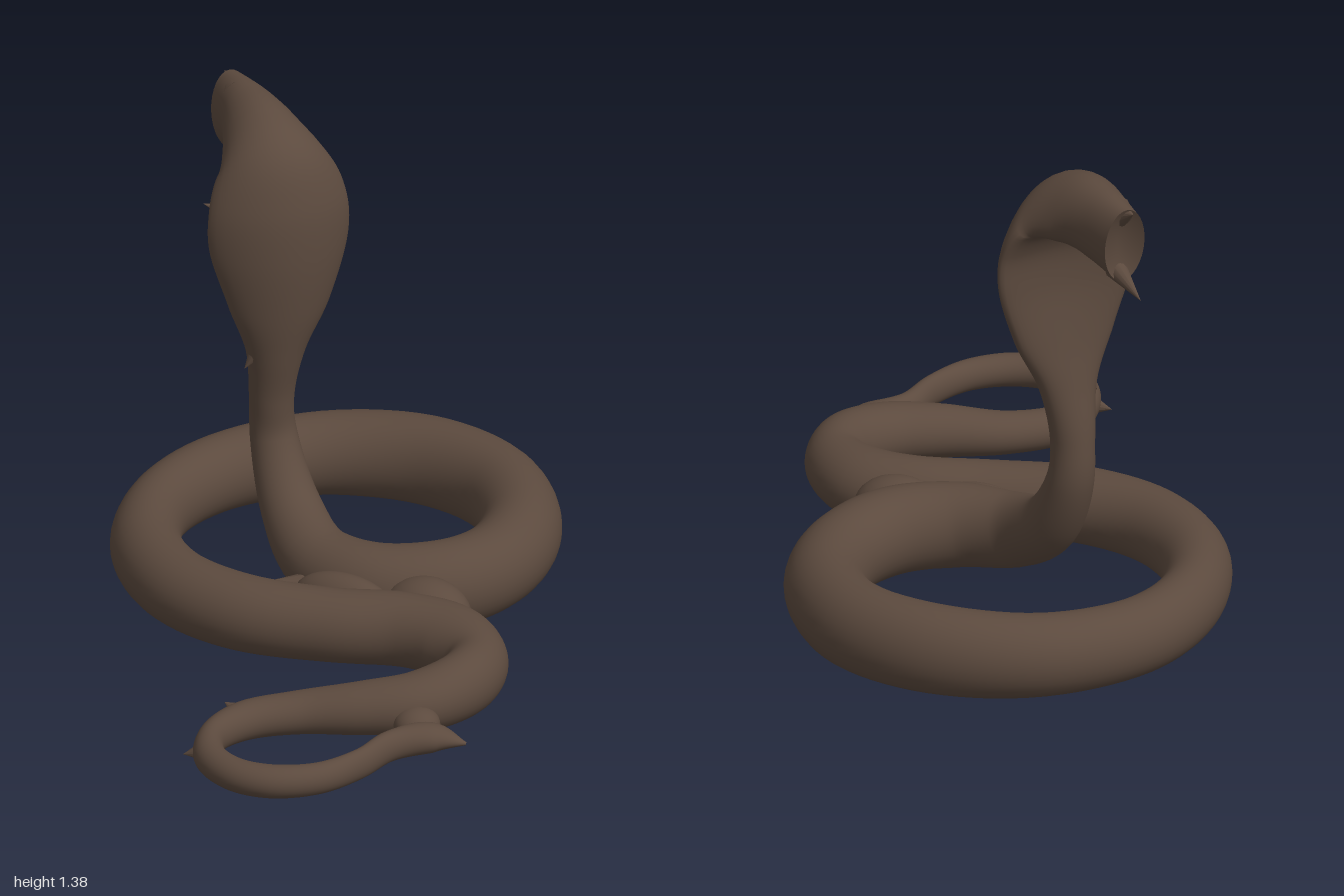
import * as THREE from 'three';

// Stations: x, y, z, half width, half height, sideways curl
const TAIL = [
  [0.74, 0.05, 0.45, 0.004, 0.004, 0],
  [0.65, 0.06, 0.48, 0.05, 0.04, 0],
  [0.575, 0.06, 0.58, 0.035, 0.045, 0],
  [0.555, 0.06, 0.72, 0.03, 0.045, 0],
  [0.5, 0.06, 0.85, 0.04, 0.045, 0],
  [0.4, 0.06, 0.93, 0.048, 0.047, 0],
  [0.29, 0.06, 0.945, 0.047, 0.047, 0],
  [0.18, 0.06, 0.89, 0.045, 0.047, 0],
  [0.125, 0.06, 0.78, 0.04, 0.05, 0],
  [0.15, 0.06, 0.65, 0.055, 0.055, 0],
  [0.26, 0.065, 0.54, 0.065, 0.06, 0],
  [0.42, 0.08, 0.45, 0.08, 0.075, 0],
  [0.54, 0.09, 0.36, 0.09, 0.085, 0],
  [0.6, 0.1, 0.22, 0.085, 0.095, 0],
  [0.57, 0.1, 0.1, 0.09, 0.095, 0],
];
const COIL = [
  [0.45, 0.1, 0.02, 0.11, 0.103, 0],
  [0.3, 0.1, 0.02, 0.1, 0.105, 0],
  [0.1, 0.095, 0.09, 0.1, 0.105, 0],
  [-0.15, 0.095, 0.145, 0.105, 0.108, 0],
  [-0.38, 0.095, 0.1, 0.105, 0.108, 0],
  [-0.57, 0.095, -0.06, 0.1, 0.108, 0],
  [-0.66, 0.095, -0.3, 0.092, 0.108, 0],
  [-0.62, 0.095, -0.56, 0.1, 0.11, 0],
  [-0.43, 0.1, -0.79, 0.11, 0.118, 0],
  [-0.15, 0.105, -0.885, 0.113, 0.13, 0],
  [0.11, 0.105, -0.83, 0.115, 0.13, 0],
  [0.28, 0.105, -0.65, 0.115, 0.125, 0],
  [0.325, 0.105, -0.43, 0.115, 0.122, 0],
  [0.26, 0.11, -0.25, 0.115, 0.125, 0],
  [0.1, 0.115, -0.145, 0.11, 0.12, 0],
];
const HOOD = [
  [-0.08, 0.14, -0.16, 0.1, 0.105, 0],
  [-0.22, 0.23, -0.25, 0.085, 0.085, 0],
  [-0.305, 0.4, -0.305, 0.067, 0.067, 0],
  [-0.31, 0.53, -0.3, 0.063, 0.062, 0],
  [-0.285, 0.68, -0.285, 0.085, 0.06, 0.01],
  [-0.26, 0.82, -0.275, 0.145, 0.058, 0.03],
  [-0.245, 1.0, -0.265, 0.2, 0.055, 0.06],
  [-0.255, 1.14, -0.275, 0.2, 0.06, 0.06],
  [-0.3, 1.25, -0.315, 0.165, 0.08, 0.05],
  [-0.38, 1.28, -0.38, 0.12, 0.098, 0.035],
  [-0.47, 1.27, -0.45, 0.08, 0.112, 0],
  [-0.56, 1.255, -0.515, 0.06, 0.115, 0],
];
const SIDES = 32, STEPS = 7;
const UP = new THREE.Vector3(0, 1, 0);
const HEAD_SIDE = new THREE.Vector3(0.66, 0, -0.75);

// Vertices of the whole snake, swept along one smooth curve
function sweepPoints(stations) {
  const path = new THREE.CatmullRomCurve3(stations.map(p => new THREE.Vector3(p[0], p[1], p[2])));
  const sizes = new THREE.CatmullRomCurve3(stations.map(p => new THREE.Vector3(p[3], p[4], p[5])), false, 'catmullrom', 0.5);
  const rows = (stations.length - 1) * STEPS;
  const neckStart = TAIL.length + COIL.length;
  const pos = [];
  for (let i = 0; i <= rows; i++) {
    const u = i / rows;
    const c = path.getPoint(u), t = path.getTangent(u), size = sizes.getPoint(u);
    const blend = THREE.MathUtils.smoothstep(i / STEPS, neckStart - 1, neckStart + 2);
    const side = t.clone().cross(UP).lerp(HEAD_SIDE, blend).normalize();
    const depth = t.clone().cross(side).normalize();
    for (let j = 0; j < SIDES; j++) {
      const a = j / SIDES * Math.PI * 2;
      const p = c.clone()
        .addScaledVector(side, size.x * Math.cos(a))
        .addScaledVector(depth, size.y * Math.sin(a) + size.z * Math.cos(a) ** 2);
      pos.push(p.x, Math.max(0, p.y), p.z); // belly rests flat on the ground
    }
  }
  return { pos, rows };
}

function rowIndices(from, to) {
  const index = [];
  for (let i = from; i < to; i++) {
    for (let j = 0; j < SIDES; j++) {
      const a = i * SIDES + j, b = i * SIDES + (j + 1) % SIDES;
      index.push(a, b, a + SIDES, b, b + SIDES, a + SIDES);
    }
  }
  return index;
}

export function createModel() {
  const group = new THREE.Group();
  const skin = new THREE.MeshStandardMaterial({ color: 0x5c4a3e });
  skin.name = 'brown skin';
  const add = (geometry, name, material = skin) => {
    const mesh = new THREE.Mesh(geometry, material);
    mesh.name = name;
    group.add(mesh);
    return mesh;
  };

  // Tail, coil and hood share vertices so the skin stays smooth across them
  const { pos, rows } = sweepPoints([...TAIL, ...COIL, ...HOOD]);
  const whole = new THREE.BufferGeometry();
  whole.setAttribute('position', new THREE.Float32BufferAttribute(pos, 3));
  whole.setIndex(rowIndices(0, rows));
  whole.computeVertexNormals();
  const coilRow = TAIL.length * STEPS, hoodRow = (TAIL.length + COIL.length) * STEPS;
  for (const [name, from, to] of [['tail', 0, coilRow], ['coil', coilRow, hoodRow], ['neckHoodAndHead', hoodRow, rows]]) {
    const part = new THREE.BufferGeometry();
    part.setAttribute('position', whole.attributes.position);
    part.setAttribute('normal', whole.attributes.normal);
    part.setIndex(rowIndices(from, to));
    add(part, name);
  }

  // Hollow mouth closing the front of the head
  const rim = pos.slice(rows * SIDES * 3);
  const mouth = new THREE.BufferGeometry();
  mouth.setAttribute('position', new THREE.Float32BufferAttribute([...rim, -0.525, 1.25, -0.485], 3));
  const fan = [];
  for (let j = 0; j < SIDES; j++) fan.push(SIDES, j, (j + 1) % SIDES);
  mouth.setIndex(fan);
  mouth.computeVertexNormals();
  add(mouth, 'mouth');

  // Pointed flaps: base, tip, base radius
  const spike = (name, base, tip, radius) => {
    const a = new THREE.Vector3(...base), b = new THREE.Vector3(...tip);
    const dir = b.clone().sub(a), length = dir.length();
    const mesh = add(new THREE.ConeGeometry(radius, length, 12), name);
    mesh.position.copy(a).lerp(b, 0.5);
    mesh.quaternion.setFromUnitVectors(UP, dir.normalize());
  };
  spike('chinTip', [-0.52, 1.165, -0.485], [-0.635, 1.125, -0.575], 0.032);
  spike('browTip', [-0.52, 1.33, -0.48], [-0.592, 1.36, -0.53], 0.05);
  spike('hoodTip', [-0.4, 1.12, -0.2], [-0.45, 1.145, -0.165], 0.02);
  spike('hoodBaseTip', [-0.32, 0.69, -0.24], [-0.345, 0.64, -0.21], 0.025);
  spike('tailSpur', [0.15, 0.05, 0.83], [0.075, 0.03, 0.86], 0.04);
  spike('tailBump', [0.16, 0.06, 0.64], [0.075, 0.09, 0.63], 0.05);
  spike('bellyNub', [-0.06, 0.1, -0.06], [-0.135, 0.13, -0.01], 0.05);

  // Webs of skin where the body touches itself
  const web = (name, x, y, z, rx, ry, rz) => {
    const mesh = add(new THREE.SphereGeometry(1, 24, 16), name);
    mesh.position.set(x, y, z);
    mesh.scale.set(rx, ry, rz);
  };
  web('tailWeb', 0.58, 0.068, 0.445, 0.065, 0.05, 0.065);
  web('coilWeb', 0.3, 0.1, -0.1, 0.13, 0.1, 0.1);
  web('frontWeb', 0.08, 0.1, -0.03, 0.16, 0.09, 0.07);
  return group;
}
